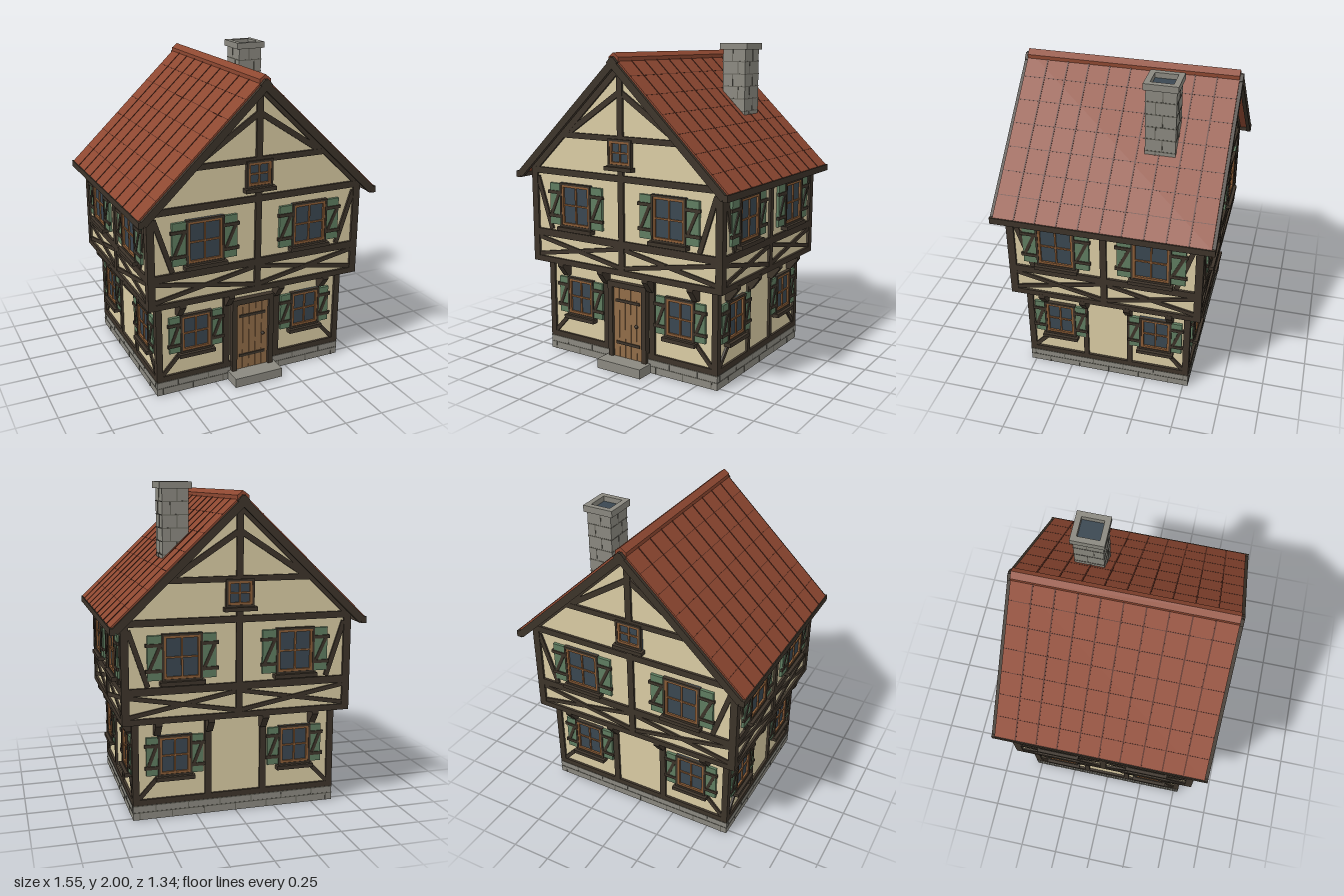
import * as THREE from 'three';

const mat = (name, color) => {
  const m = new THREE.MeshStandardMaterial({ color });
  m.name = name;
  return m;
};
const M = {
  plaster: mat('cream plaster', 0xdacca4),
  timber: mat('dark timber', 0x3d342a),
  roof: mat('red roof', 0x8e4831),
  seam: mat('roof seam', 0x5a2c1f),
  stone: mat('grey stone', 0x8b8980),
  mortar: mat('dark mortar', 0x67655c),
  glass: mat('window glass', 0x3a4751),
  frame: mat('brown window frame', 0x8a5c36),
  shutter: mat('green shutter', 0x5f7d60),
  door: mat('door wood', 0x916c48),
};

function group(parent, name) {
  const g = new THREE.Group();
  g.name = name;
  parent.add(g);
  return g;
}

// Box given by its min and max on each axis
function box(parent, name, m, x0, x1, y0, y1, z0, z1) {
  const mesh = new THREE.Mesh(new THREE.BoxGeometry(x1 - x0, y1 - y0, z1 - z0), m);
  mesh.position.set((x0 + x1) / 2, (y0 + y1) / 2, (z0 + z1) / 2);
  mesh.name = name;
  parent.add(mesh);
  return mesh;
}

// Slanted bar between two points of a wall, reaching out to z = out
function bar(parent, name, m, x0, y0, x1, y1, w, out, back = -0.01) {
  const len = Math.hypot(x1 - x0, y1 - y0);
  const mesh = box(parent, name, m, -len / 2, len / 2, -w / 2, w / 2, back, out);
  mesh.position.x = (x0 + x1) / 2;
  mesh.position.y = (y0 + y1) / 2;
  mesh.rotation.z = Math.atan2(y1 - y0, x1 - x0);
  return mesh;
}

// Prism from an outline in x and y, centred on z = 0
function prism(parent, name, m, pts, depth) {
  const shape = new THREE.Shape(pts.map(p => new THREE.Vector2(p[0], p[1])));
  const geo = new THREE.ExtrudeGeometry(shape, { depth, bevelEnabled: false });
  const mesh = new THREE.Mesh(geo.translate(0, 0, -depth / 2), m);
  mesh.name = name;
  parent.add(mesh);
  return mesh;
}

// Rectangular ring of four bars
function ring(parent, name, m, w, h, t, z0, z1) {
  for (const s of [-1, 1]) {
    const x = s * (w - t) / 2, y = s * (h - t) / 2;
    box(parent, name, m, x - t / 2, x + t / 2, -h / 2, h / 2, z0, z1);
    box(parent, name, m, -w / 2 + t, w / 2 - t, y - t / 2, y + t / 2, z0, z1);
  }
}

// Window with sill and, if sw > 0, a pair of braced shutters
function addWindow(wall, x, y, w, h, sw) {
  const g = group(wall, 'window');
  g.position.set(x, y, 0);
  box(g, 'glass', M.glass, -w / 2, w / 2, -h / 2, h / 2, 0, 0.009);
  ring(g, 'outerFrame', M.timber, w, h, 0.013, -0.005, 0.025);
  ring(g, 'innerFrame', M.frame, w - 0.026, h - 0.026, 0.014, 0, 0.021);
  box(g, 'mullion', M.frame, -0.005, 0.005, -h / 2 + 0.02, h / 2 - 0.02, 0, 0.018);
  box(g, 'crossbar', M.frame, -w / 2 + 0.02, w / 2 - 0.02, -0.005, 0.005, 0, 0.017);
  box(g, 'sill', M.timber, -w / 2 - 0.014, w / 2 + 0.014, -h / 2 - 0.024, -h / 2, -0.005, 0.045);
  if (!sw) return;
  for (const s of [-1, 1]) {
    const sh = group(g, 'shutter');
    sh.position.x = s * (w + sw) / 2;
    box(sh, 'shutterBoard', M.shutter, -sw / 2, sw / 2, -h / 2 + 0.008, h / 2 - 0.008, 0, 0.018);
    const c = s * 0.006, b = sw / 2 + 0.006, v = h * 0.27;
    for (const k of [-v, v]) box(sh, 'shutterBar', M.timber, c - b, c + b, k - 0.01, k + 0.01, 0.01, 0.025);
    bar(sh, 'shutterBrace', M.timber, -sw / 2 + 0.008, -v, sw / 2 - 0.008, v, 0.02, 0.023, 0.01);
  }
}

// Stone plinth joints on one side, two staggered rows
function addPlinthJoints(wall, half) {
  for (const y of [0.045, 0.087]) box(wall, 'plinthJoint', M.mortar, -half, half, y - 0.003, y + 0.003, 0, 0.017);
  for (let r = 0; r < 2; r++) {
    for (let x = -0.6 + r * 0.1; x < half; x += 0.2) {
      if (Math.abs(x) < half - 0.02) {
        box(wall, 'plinthJoint', M.mortar, x - 0.003, x + 0.003, r * 0.045, r * 0.045 + 0.045, 0, 0.017);
      }
    }
  }
}

// Ground floor side: z = 0 is the plaster face
function groundWall(root, angle, half, dist, o) {
  const turn = group(root, 'groundWall');
  turn.rotation.y = angle;
  const g = group(turn, 'groundTimbers');
  g.position.z = dist - 0.015;
  addPlinthJoints(g, half);
  box(g, 'sillBeam', M.timber, -half, half, 0.088, 0.125, -0.01, 0.015);
  for (const s of [-1, 1]) {
    const e = s * (half - 0.02);
    box(g, 'cornerPost', M.timber, e - 0.02, e + 0.02, 0.09, 0.63, -0.025, 0.015);
    box(g, 'post', M.timber, s * o.post - o.postW / 2, s * o.post + o.postW / 2, 0.1, 0.63, -0.01, 0.015);
    bar(g, 'footBrace', M.timber, s * (half - 0.035), 0.125, s * (half - 0.15), 0.25, 0.026, 0.012);
    addWindow(g, s * o.win, 0.39, o.winW, 0.253, o.shutter);
    for (const x of o.brackets) {
      const b = prism(g, 'jettyBracket', M.timber,
        [[0, 0.525], [0.03, 0.525], [0.083, 0.595], [0.083, 0.625], [0, 0.625]], 0.04);
      b.rotation.y = -Math.PI / 2;
      b.position.x = s * x;
    }
  }
  return g;
}

// Upper floor side with crossed band and corner braces
function upperWall(root, angle, half, dist, win) {
  const turn = group(root, 'upperWall');
  turn.rotation.y = angle;
  const g = group(turn, 'upperTimbers');
  g.position.z = dist - 0.015;
  for (const [y0, y1] of [[0.612, 0.648], [0.785, 0.83], [1.19, 1.23]]) {
    box(g, 'beam', M.timber, -half, half, y0, y1, -0.01, 0.015);
  }
  box(g, 'middlePost', M.timber, -0.02, 0.02, 0.63, 1.2, -0.01, 0.015);
  for (const s of [-1, 1]) {
    const e = s * (half - 0.023);
    box(g, 'cornerPost', M.timber, e - 0.023, e + 0.023, 0.62, 1.21, -0.03, 0.015);
    const a = s * 0.02, b = s * (half - 0.046);
    bar(g, 'crossBrace', M.timber, a, 0.66, b, 0.775, 0.026, 0.012);
    bar(g, 'crossBrace', M.timber, a, 0.775, b, 0.66, 0.026, 0.0105);
    bar(g, 'cornerBrace', M.timber, s * (half - 0.045), 1.17, s * (half - 0.155), 0.835, 0.03, 0.012);
    addWindow(g, s * win, 1.005, 0.242, 0.28, 0.085);
  }
  return g;
}

// Timbers and small window of a gable
function gable(g) {
  box(g, 'collarBeam', M.timber, -0.46, 0.46, 1.43, 1.465, -0.01, 0.015);
  box(g, 'kingPost', M.timber, -0.02, 0.02, 1.2, 1.27, -0.01, 0.015);
  box(g, 'kingPost', M.timber, -0.02, 0.02, 1.44, 1.86, -0.01, 0.015);
  for (const s of [-1, 1]) {
    bar(g, 'gableStrut', M.timber, 0, 1.725, s * 0.41, 1.455, 0.034, 0.013);
    bar(g, 'gableRafter', M.timber, 0, 1.872, s * 0.7, 1.208, 0.045, 0.014);
  }
  addWindow(g, 0, 1.365, 0.172, 0.164, 0);
}

function addDoor(g) {
  const d = group(g, 'door');
  box(d, 'doorBacking', M.timber, -0.12, 0.12, 0.06, 0.54, 0, 0.014);
  for (let i = 0; i < 5; i++) {
    const x = -0.11 + i * 0.044;
    box(d, 'doorPlank', M.door, x + 0.0015, x + 0.0425, 0.06, 0.52, 0, 0.022);
  }
  for (const s of [-1, 1]) box(d, 'doorJamb', M.timber, s * 0.127 - 0.017, s * 0.127 + 0.017, 0.06, 0.55, 0, 0.038);
  box(d, 'doorLintel', M.timber, -0.144, 0.144, 0.515, 0.55, 0, 0.038);
  for (const y of [0.155, 0.43]) box(d, 'strapHinge', M.timber, -0.09, 0.09, y - 0.009, y + 0.009, 0.02, 0.029);
  const knob = new THREE.Mesh(new THREE.SphereGeometry(0.012, 10, 8), M.timber);
  knob.name = 'doorKnob';
  knob.position.set(0.07, 0.285, 0.032);
  d.add(knob);
}

function addRoof(root) {
  const roof = group(root, 'roof');
  const len = Math.hypot(0.77, 0.73), tilt = Math.atan2(0.73, 0.77);
  for (const s of [1, -1]) {
    const side = group(roof, 'roofSide');
    side.rotation.y = s > 0 ? 0 : Math.PI;
    const slope = group(side, 'roofSlope');
    slope.position.y = 1.935;
    slope.rotation.z = -tilt;
    box(slope, 'roofPanel', M.roof, 0, len, -0.03, 0, -0.65, 0.65);
    for (let i = -4; i <= 4; i++) box(slope, 'roofSeam', M.seam, 0.03, len, -0.005, 0.003, i * 0.13 - 0.004, i * 0.13 + 0.004);
    for (let i = 1; i <= 6; i++) box(slope, 'roofCourse', M.seam, i * 0.15 + 0.014, i * 0.15 + 0.018, -0.005, 0.001, -0.65, 0.65);
    for (const z of [-0.658, 0.658]) box(slope, 'bargeBoard', M.timber, 0, len, -0.055, -0.01, z - 0.012, z + 0.012);
    box(side, 'eaveBoard', M.timber, 0.742, 0.775, 1.163, 1.203, -0.67, 0.67);
  }
  prism(roof, 'ridgeCap', M.roof, [[-0.035, 1.9], [0.035, 1.9], [0.035, 1.925], [0, 1.952], [-0.035, 1.925]], 1.3);
}

function addChimney(root) {
  const c = group(root, 'chimney');
  c.position.set(0.326, 0, -0.267);
  box(c, 'chimneyShaft', M.stone, -0.08, 0.08, 1.48, 1.965, -0.09, 0.09);
  for (let i = 0; i < 6; i++) {
    const y = 1.885 - i * 0.078, o = i % 2 ? 0.03 : -0.01;
    box(c, 'chimneyJoint', M.mortar, -0.082, 0.082, y - 0.003, y + 0.003, -0.092, 0.092);
    box(c, 'chimneyJoint', M.mortar, o - 0.003, o + 0.003, y, y + 0.075, -0.092, 0.092);
    box(c, 'chimneyJoint', M.mortar, -0.082, 0.082, y, y + 0.075, o - 0.003, o + 0.003);
  }
  const cap = group(c, 'chimneyCap');
  cap.position.y = 1.98;
  cap.rotation.x = -Math.PI / 2;
  ring(cap, 'capStone', M.stone, 0.195, 0.203, 0.034, -0.02, 0.02);
  box(c, 'flue', M.glass, -0.07, 0.07, 1.96, 1.968, -0.075, 0.075);
}

export function createModel() {
  const root = new THREE.Group();
  root.name = 'timberHouse';

  // Masonry and plaster bodies
  box(root, 'plinth', M.stone, -0.64, 0.64, 0, 0.09, -0.53, 0.53);
  box(root, 'doorStep', M.stone, -0.163, 0.163, 0, 0.06, 0.5, 0.645);
  box(root, 'groundFloor', M.plaster, -0.625, 0.625, 0.08, 0.63, -0.515, 0.515);
  prism(root, 'upperFloor', M.plaster,
    [[-0.692, 0.62], [0.692, 0.62], [0.692, 1.235], [0, 1.89], [-0.692, 1.235]], 1.17);

  // Timbered sides: front, left, back, right
  for (let i = 0; i < 4; i++) {
    const a = i * Math.PI / 2, gableSide = i % 2 === 0;
    const lower = gableSide
      ? groundWall(root, a, 0.64, 0.53, { post: 0.175, postW: 0.04, win: 0.38, winW: 0.21, shutter: 0.07, brackets: [0.17, 0.49] })
      : groundWall(root, a, 0.53, 0.64, { post: 0.145, postW: 0.032, win: 0.312, winW: 0.205, shutter: 0.065, brackets: [0.14, 0.405] });
    const upper = gableSide ? upperWall(root, a, 0.707, 0.6, 0.348) : upperWall(root, a, 0.6, 0.707, 0.292);
    if (gableSide) gable(upper);
    if (i === 0) addDoor(lower);
  }

  addRoof(root);
  addChimney(root);
  return root;
}
